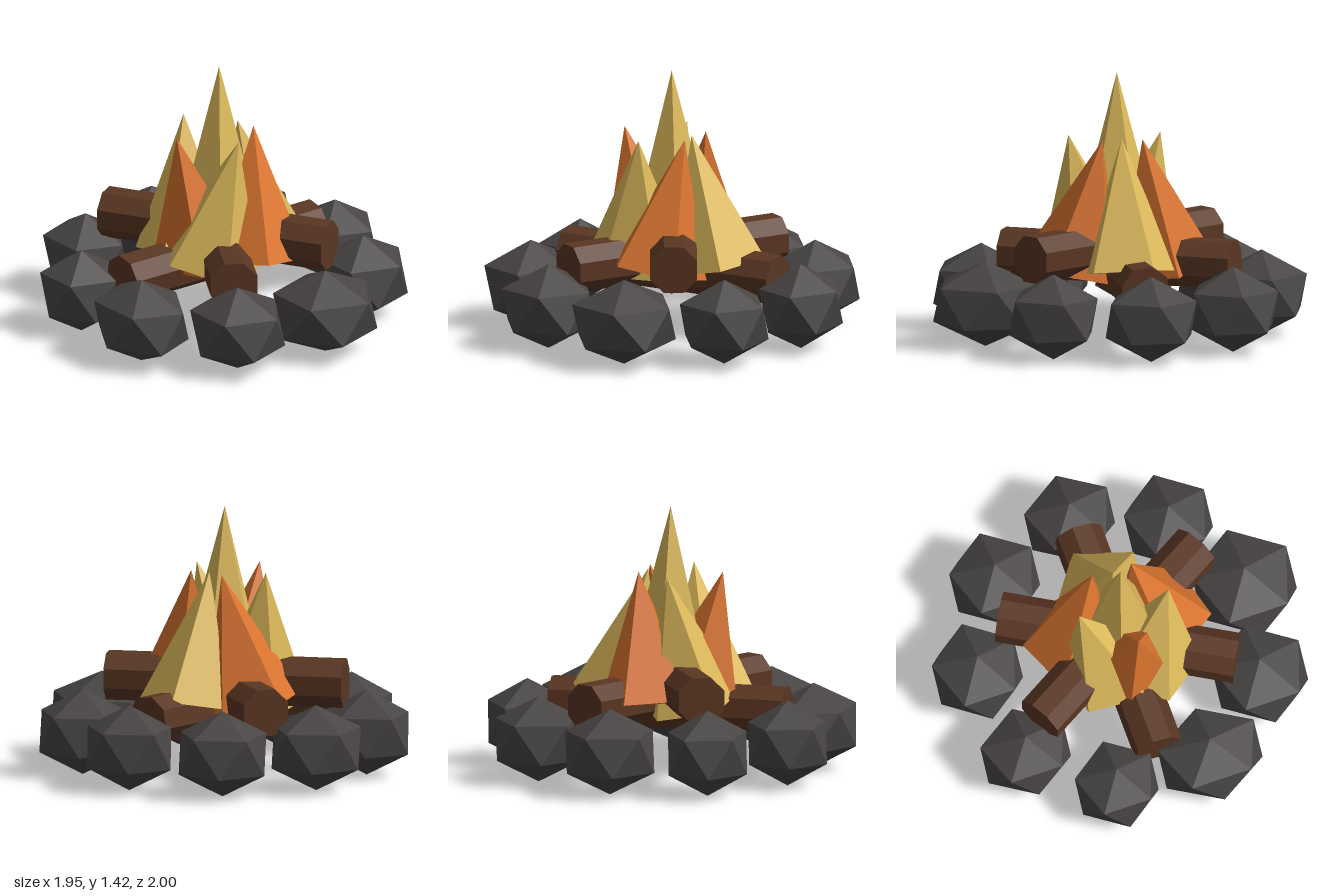
import * as THREE from 'three';

const rad = THREE.MathUtils.degToRad;

function material(name, color) {
  const m = new THREE.MeshStandardMaterial({ color, flatShading: true });
  m.name = name;
  return m;
}

export function createModel() {
  const stone = material('charcoal stone', 0x494545);
  const bark = material('brown wood', 0x5a3623);
  const orange = material('orange flame', 0xdb7530);
  const yellow = material('yellow flame', 0xdfbb5c);

  const model = new THREE.Group();
  model.name = 'campfire';
  const add = (parent, geometry, mat, name) => {
    const mesh = new THREE.Mesh(geometry, mat);
    mesh.name = name;
    parent.add(mesh);
    return mesh;
  };
  const group = (name) => {
    const g = new THREE.Group();
    g.name = name;
    model.add(g);
    return g;
  };

  // Ring of stones: icosahedra standing on a corner, [x, z, x radius, z radius]
  const stones = group('stoneRing');
  const stoneShape = new THREE.IcosahedronGeometry(1, 0);
  stoneShape.rotateZ(-Math.atan(2 / (1 + Math.sqrt(5))));
  const ringRadius = 2 / Math.sqrt(5);
  [
    [0.105, -0.77, 0.245, 0.242],
    [0.565, -0.51, 0.237, 0.242],
    [0.757, -0.02, 0.217, 0.245],
    [0.567, 0.47, 0.238, 0.237],
    [0.105, 0.735, 0.277, 0.279],
    [-0.41, 0.64, 0.25, 0.257],
    [-0.747, 0.24, 0.233, 0.284],
    [-0.743, -0.285, 0.217, 0.224],
    [-0.408, -0.68, 0.217, 0.244],
  ].forEach(([x, z, rx, rz]) => {
    const s = add(stones, stoneShape, stone, 'stone');
    s.position.set(x, 0.23, z);
    s.scale.set(rx / ringRadius, 0.23, rz / ringRadius);
  });

  // Three crossed logs, each a little higher: [height, yaw, roll]
  const logs = group('logs');
  [
    [0.355, 0, 13],
    [0.42, 60, 22.5],
    [0.49, -60, 22.5],
  ].forEach(([y, yaw, roll]) => {
    const g = new THREE.CylinderGeometry(0.135, 0.135, 1.285, 8);
    g.rotateZ(Math.PI / 2).rotateX(rad(-roll)).rotateY(rad(yaw));
    add(logs, g, bark, 'log').position.set(-0.028, y, -0.024);
  });

  // Five-sided flames leaning from base to tip; corner is the angle of one base corner
  const flames = group('flames');
  const up = new THREE.Vector3(0, 1, 0);
  const flame = (mat, name, bx, bz, tx, tz, corner, top = 1.085) => {
    const base = new THREE.Vector3(bx, 0.39, bz);
    const axis = new THREE.Vector3(tx, top, tz).sub(base);
    const height = axis.length();
    const g = new THREE.ConeGeometry(0.275, height, 5);
    g.rotateY(rad(90 - corner)).translate(0, height / 2, 0);
    const f = add(flames, g, mat, name);
    f.position.copy(base);
    f.quaternion.setFromUnitVectors(up, axis.normalize());
  };
  flame(yellow, 'centreFlame', -0.028, -0.012, -0.028, -0.012, 54, 1.425);
  flame(yellow, 'leftFlame', 0.24, -0.01, 0.095, -0.01, 54);
  flame(orange, 'frontFlame', 0.02, 0.235, 0.115, 0.1, 40);
  flame(orange, 'backFlame', 0.025, -0.255, 0.12, -0.118, 68);
  flame(yellow, 'rightBackFlame', -0.165, -0.115, -0.075, -0.26, 9);
  flame(yellow, 'rightFrontFlame', -0.185, 0.095, -0.09, 0.238, 33);
  flame(orange, 'rightFlame', -0.165, -0.01, -0.315, -0.01, 54);

  return model;
}
